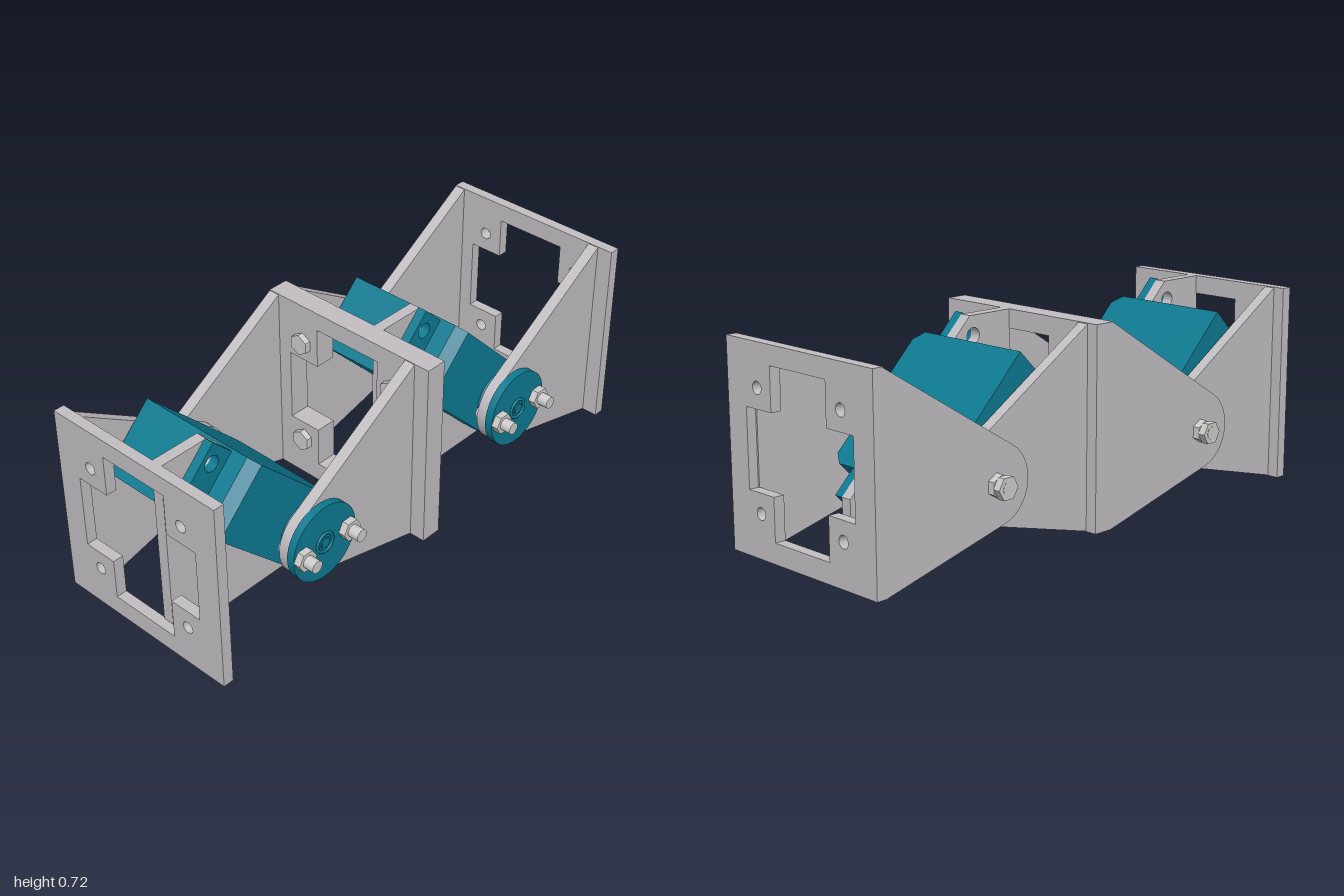
import * as THREE from 'three';

const metal = new THREE.MeshStandardMaterial({ color: 0xc2bec2 });
metal.name = 'bracket grey';
const steel = new THREE.MeshStandardMaterial({ color: 0xcfcdcc });
steel.name = 'fastener steel';
const teal = new THREE.MeshStandardMaterial({ color: 0x0d7a91 });
teal.name = 'servo teal';

const H = 0.72, AXIS_Y = 0.265, T = 0.042;

function add(parent, name, geo, mat, x = 0, y = 0, z = 0) {
  const m = new THREE.Mesh(geo, mat);
  m.name = name;
  m.position.set(x, y, z);
  parent.add(m);
  return m;
}

const poly = (pts) => new THREE.Shape(pts.map(([x, y]) => new THREE.Vector2(x, y)));
const slab = (shape, depth) =>
  new THREE.ExtrudeGeometry(shape, { depth, bevelEnabled: false, curveSegments: 24 });

function hole(shape, x, y, r) {
  shape.holes.push(new THREE.Path().absarc(x, y, r, 0, Math.PI * 2, true));
}

// cylinder or prism lying along z, from z0 to z1
function rod(parent, name, mat, r, sides, x, y, z0, z1, turn = 0, r1 = r) {
  const g = new THREE.CylinderGeometry(r1, r, z1 - z0, sides).rotateY(turn).rotateX(Math.PI / 2);
  return add(parent, name, g, mat, x, y, (z0 + z1) / 2);
}

// hexagonal nut with flat sides
function hex(parent, name, r, x, y, z0, z1, turn = 0) {
  const m = rod(parent, name, steel, r, 6, x, y, z0, z1, turn);
  m.geometry = m.geometry.toNonIndexed();
  m.geometry.computeVertexNormals();
}

// square end plate with a cross-shaped window and four bolt holes; x0 is its lower x face
function endPlate(parent, name, x0) {
  const h = 0.3625, c = 0.0075;
  const s = poly([[-h, 0], [h, 0], [h, H], [-h, H]]);
  const a = 0.138, b = 0.267, lo = 0.073, hi = 0.652, l = 0.225, u = 0.5;
  s.holes.push(new THREE.Path([
    [-a, lo], [-a, l], [-b, l], [-b, u], [-a, u], [-a, hi],
    [a, hi], [a, u], [b, u], [b, l], [a, l], [a, lo],
  ].map(([x, y]) => new THREE.Vector2(x, y))));
  for (const x of [-0.208, 0.208]) for (const y of [0.155, 0.57]) hole(s, x, y, 0.022);
  const g = slab(s, 0.04).rotateY(Math.PI / 2);
  add(parent, name, g, metal, x0, 0, c);
}

// tapering arm with a round end about the pivot; side = +1 or -1 is where its plate lies
function arm(parent, name, side, z0, z1) {
  const r = 0.14, px = 0.465;
  const tangent = (dy, sign) => Math.atan2(dy, px) + sign * Math.acos(r / Math.hypot(px, dy));
  const s = new THREE.Shape();
  s.moveTo(px, 0);
  s.lineTo(px, H);
  s.absarc(0, AXIS_Y, r, tangent(H - AXIS_Y, 1), tangent(-AXIS_Y, -1) + Math.PI * 2, false);
  s.closePath();
  const g = slab(s, z1 - z0).translate(0, 0, -(z1 - z0) / 2);
  if (side < 0) g.rotateY(Math.PI);
  add(parent, name, g, metal, 0, 0, (z0 + z1) / 2);
}

function servo() {
  // local x runs along the case, tilted downwards
  const g = new THREE.Group();
  g.name = 'servo';
  const L = 0.275, W = 0.135;
  const side = poly([[-L, -0.26], [L, -0.26], [L, 0.2], [L - 0.035, 0.238], [-L + 0.035, 0.238], [-L, 0.2]]);
  add(g, 'servoCase', slab(side, 2 * W).rotateX(Math.PI / 2), teal, 0, W, 0);
  const f = poly([[-0.382, -0.127], [0.382, -0.127], [0.382, 0.127], [-0.382, 0.127]]);
  for (const x of [-0.335, 0.335]) for (const y of [-0.066, 0.066]) hole(f, x, y, 0.029);
  add(g, 'servoFlange', slab(f, 0.035), teal, 0, 0, 0.102);

  // slotted screws through the flange, nuts behind
  for (const x of [-0.335, 0.335]) {
    const y = -0.066;
    const half = new THREE.Shape().absarc(0, 0, 0.037, 0.18, Math.PI - 0.18, false);
    for (const turn of [0.78, 0.78 + Math.PI])
      add(g, 'screwHead', slab(half, 0.02), steel, x, y, 0.142).rotation.z = turn;
    rod(g, 'screwShank', steel, 0.029, 20, x, y, 0.02, 0.146);
    hex(g, 'screwNut', 0.042, x, y, 0.035, 0.061);
  }
  g.rotation.z = -Math.PI / 4;
  g.position.set(-0.1, 0.365, 0);
  return g;
}

function joint() {
  const g = new THREE.Group();
  g.name = 'joint';

  // servo bracket: end plate, rear arm and mounting web
  endPlate(g, 'servoBracketPlate', -0.5);
  arm(g, 'servoBracketArm', -1, -0.312, -0.27);
  const web = poly([[-0.465, 0], [0.26, 0], [0.26, 0.185], [-0.275, H], [-0.465, H]]);
  const d = Math.SQRT1_2;
  const at = (u, v) => [-0.1 + (u + v) * d, 0.365 + (v - u) * d];
  web.holes.push(new THREE.Path([at(-0.276, -0.125), at(-0.276, 0.125), at(0.276, 0.125), at(0.276, -0.125)]
    .map(([x, y]) => new THREE.Vector2(x, y))));
  for (const u of [-0.335, 0.335]) for (const v of [-0.066, 0.066]) hole(web, ...at(u, v), 0.029);
  add(g, 'servoMountWeb', slab(web, T), metal, 0, 0, 0.06);
  g.add(servo());

  // swinging U bracket
  endPlate(g, 'swingBracketPlate', 0.46);
  arm(g, 'swingBracketFrontArm', 1, 0.268, 0.31);
  arm(g, 'swingBracketRearArm', 1, -0.355, -0.312);

  // output shaft boss and horn
  rod(g, 'shaftBoss', teal, 0.105, 32, 0, AXIS_Y, 0.236, 0.266, 0, 0.07);
  rod(g, 'servoHorn', teal, 0.145, 48, 0, AXIS_Y, 0.308, 0.338);
  add(g, 'hornRing', new THREE.TorusGeometry(0.036, 0.006, 8, 28), teal, 0, AXIS_Y, 0.338);
  rod(g, 'hornScrew', teal, 0.022, 6, 0, AXIS_Y, 0.33, 0.343);
  for (const x of [-0.105, 0.105]) {
    hex(g, 'hornNut', 0.04, x, AXIS_Y, 0.338, 0.364, Math.PI / 6);
    rod(g, 'hornBolt', steel, 0.023, 20, x, AXIS_Y, 0.25, 0.405);
  }

  // rear pivot bolt with a pair of nuts
  hex(g, 'pivotNut', 0.042, 0, AXIS_Y, -0.381, -0.354);
  hex(g, 'pivotLockNut', 0.042, 0, AXIS_Y, -0.41, -0.383, Math.PI / 6);
  rod(g, 'pivotBolt', steel, 0.024, 20, 0, AXIS_Y, -0.411, -0.265);
  return g;
}

export function createModel() {
  const model = new THREE.Group();
  model.name = 'twoJointServoArm';
  for (const x of [-0.5, 0.5]) {
    const j = joint();
    j.position.x = x;
    model.add(j);
  }

  // bolts joining the two middle plates
  const bolts = new THREE.Group();
  bolts.name = 'couplingBolts';
  for (const z of [-0.2, 0.215]) for (const y of [0.155, 0.57]) {
    const b = new THREE.Group();
    b.name = 'couplingBolt';
    hex(b, 'couplingNut', 0.04, 0, 0, 0.04, 0.066);
    hex(b, 'couplingHead', 0.04, 0, 0, -0.062, -0.04);
    rod(b, 'couplingShank', steel, 0.021, 16, 0, 0, -0.05, 0.076);
    b.rotation.y = Math.PI / 2;
    b.position.set(0, y, z);
    bolts.add(b);
  }
  model.add(bolts);
  return model;
}
